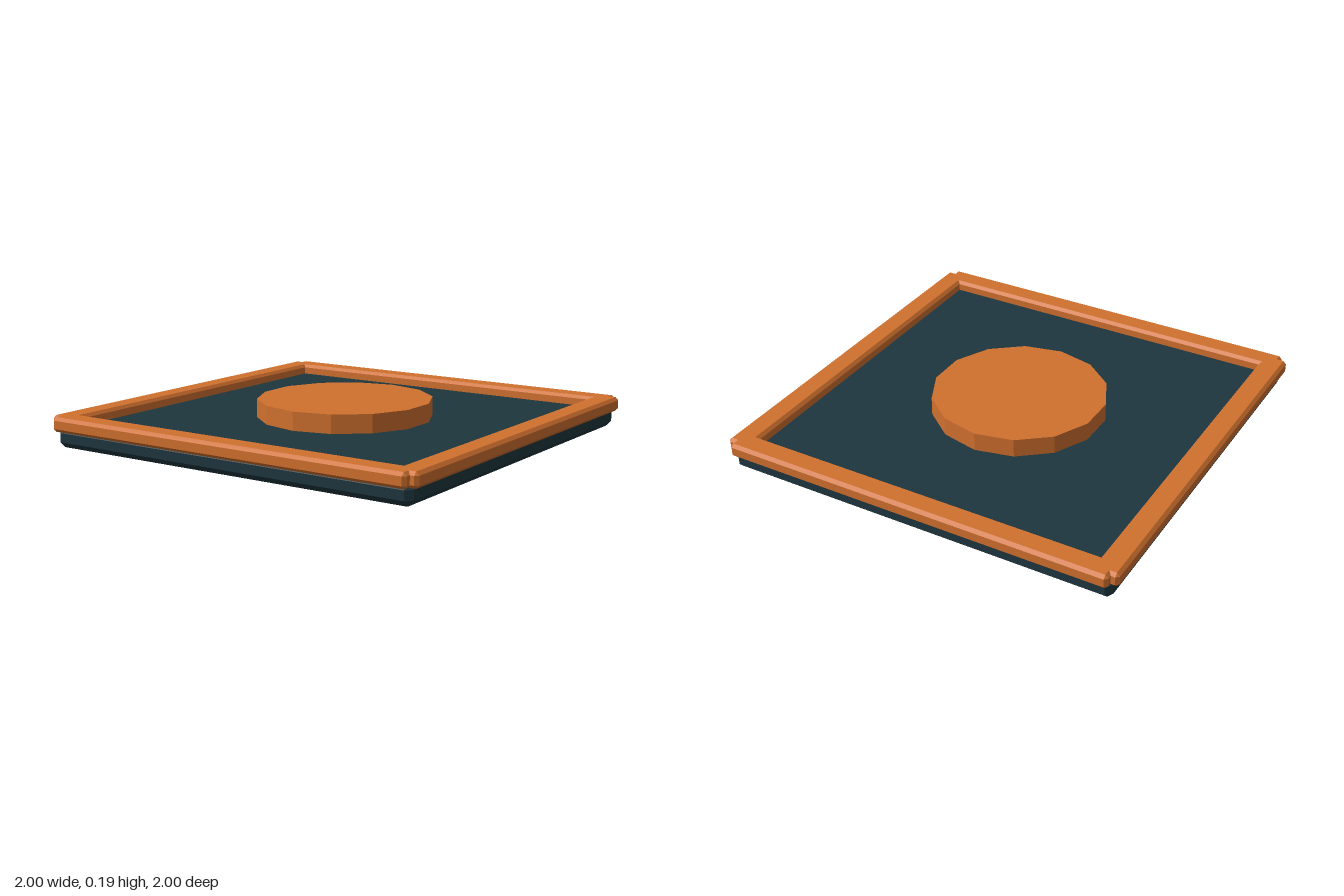
import * as THREE from 'three';
import { ConvexGeometry } from 'three/addons/geometries/ConvexGeometry.js';

// Box with every edge cut at 45 degrees by c
function chamferedBox(w, h, d, c) {
  const half = [w / 2, h / 2, d / 2];
  const points = [];
  for (const sx of [-1, 1]) for (const sy of [-1, 1]) for (const sz of [-1, 1]) {
    for (let face = 0; face < 3; face++) {
      const p = half.map((v, i) => (i === face ? v : v - c));
      points.push(new THREE.Vector3(sx * p[0], sy * p[1], sz * p[2]));
    }
  }
  return new ConvexGeometry(points);
}

export function createModel() {
  const model = new THREE.Group();
  model.name = 'pressurePlate';
  const dark = new THREE.MeshStandardMaterial({ color: 0x1e363e, flatShading: true });
  const orange = new THREE.MeshStandardMaterial({ color: 0xd0702e, flatShading: true });

  const add = (name, geometry, material, x, y, z) => {
    const mesh = new THREE.Mesh(geometry, material);
    mesh.name = name;
    mesh.position.set(x, y, z);
    model.add(mesh);
    return mesh;
  };

  // Base slab
  add('baseSlab', chamferedBox(1.94, 0.1, 1.94, 0.028), dark, 0, 0.05, 0);

  // Four frame rails, crossing at the corners
  const rail = chamferedBox(1.93, 0.07, 0.12, 0.015);
  const offset = 0.94;
  add('frontRail', rail, orange, 0, 0.115, offset);
  add('backRail', rail, orange, 0, 0.115, -offset);
  add('leftRail', rail, orange, offset, 0.115, 0).rotation.y = Math.PI / 2;
  add('rightRail', rail, orange, -offset, 0.115, 0).rotation.y = Math.PI / 2;

  // Raised fourteen-sided disc
  add('centreDisc', new THREE.CylinderGeometry(0.425, 0.425, 0.1, 14), orange, 0, 0.14, 0);

  return model;
}
